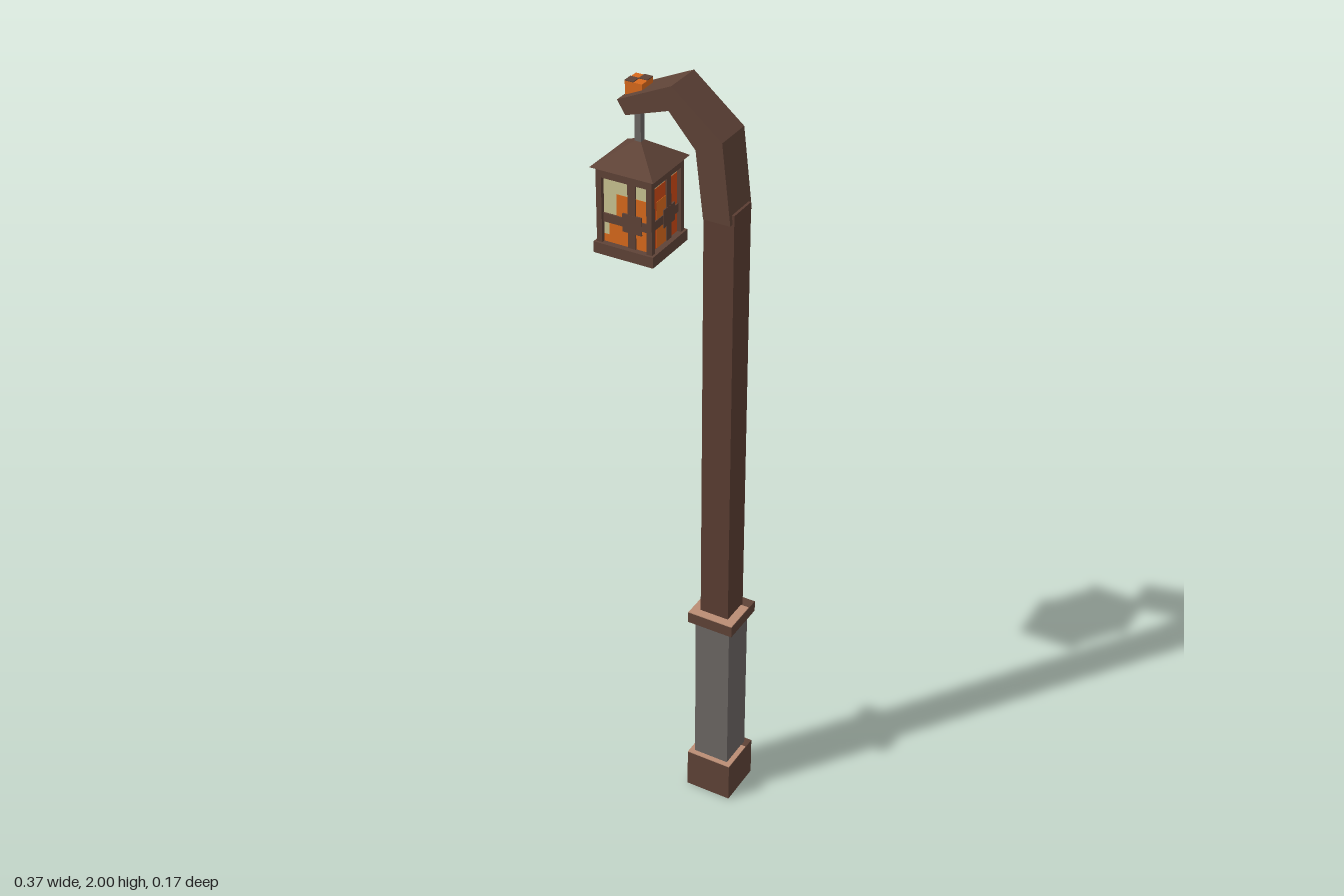
import * as THREE from 'three';

const mat = (name, color) => {
  const m = new THREE.MeshStandardMaterial({ color });
  m.name = name;
  return m;
};

export function createModel() {
  const wood = mat('brown wood', 0x5f4337);
  const postWood = mat('post wood', 0x5a3d32);
  const paleWood = mat('pale cut wood', 0xba8d74);
  const stone = mat('grey stone', 0x6b6663);
  const pale = mat('pale glass', 0xc9c390);
  const orange = mat('orange flame', 0xd8691c);
  const red = mat('deep orange flame', 0xcf4a16);

  const model = new THREE.Group();
  model.name = 'lampPost';

  // Box given by its min and max on each axis
  const box = (parent, name, m, [x0, x1], [y0, y1], [z0, z1]) => {
    const mesh = new THREE.Mesh(new THREE.BoxGeometry(x1 - x0, y1 - y0, z1 - z0), m);
    mesh.position.set((x0 + x1) / 2, (y0 + y1) / 2, (z0 + z1) / 2);
    mesh.name = name;
    parent.add(mesh);
    return mesh;
  };
  const sym = (h, c = 0) => [c - h, c + h];

  // Upright: foot, stone plinth, collar and wooden post
  const px = 0.122;
  box(model, 'foot', wood, sym(0.062, px), [0, 0.11], sym(0.062));
  box(model, 'plinth', stone, sym(0.048, px), [0.11, 0.55], sym(0.048));
  box(model, 'collar', wood, sym(0.062, px), [0.55, 0.58], sym(0.062));
  box(model, 'post', postWood, sym(0.039, px), [0.58, 1.72], sym(0.039));
  // Pale top faces of the foot and collar
  for (const [name, y] of [['footTop', 0.11], ['collarTop', 0.58]])
    box(model, name, paleWood, sym(0.0615, px), [y, y + 0.002], [-0.03, 0.0615]);

  // Bent arm
  const outline = [[0.088, 1.698], [0.157, 1.698], [0.134, 1.895], [0.007, 2],
    [-0.131, 1.937], [-0.11, 1.904], [0, 1.94], [0.068, 1.862]];
  const armShape = new THREE.Shape(outline.map(([x, y]) => new THREE.Vector2(x, y)));
  const armGeo = new THREE.ExtrudeGeometry(armShape, { depth: 0.1, bevelEnabled: false });
  const arm = new THREE.Mesh(armGeo.translate(0, 0, -0.05), wood);
  arm.name = 'arm';
  model.add(arm);

  // Checkered peg above the arm, and the hanging rod
  const lx = -0.104;
  for (const sx of [-1, 1]) for (const sz of [-1, 1]) {
    const x = [lx + Math.min(0, sx) * 0.022, lx + Math.max(0, sx) * 0.022];
    const z = [Math.min(0, sz) * 0.024, Math.max(0, sz) * 0.024];
    box(model, 'peg', orange, x, [1.925, 1.973], z);
    if (sx !== sz) box(model, 'pegTop', wood, x, [1.973, 1.975], z);
  }
  box(model, 'rod', stone, sym(0.008, lx), [1.8, 1.95], sym(0.008));

  // Lantern
  const lantern = new THREE.Group();
  lantern.name = 'lantern';
  lantern.position.x = lx;
  model.add(lantern);
  box(lantern, 'floor', wood, sym(0.079), [1.555, 1.583], sym(0.079));
  box(lantern, 'topBand', wood, sym(0.073), [1.748, 1.772], sym(0.073));
  const roofGeo = new THREE.ConeGeometry(0.083 * Math.SQRT2, 0.058, 4).toNonIndexed();
  roofGeo.rotateY(Math.PI / 4).computeVertexNormals();
  const roof = new THREE.Mesh(roofGeo, wood);
  roof.name = 'roof';
  roof.position.y = 1.801;
  lantern.add(roof);
  for (const sx of [-1, 1]) for (const sz of [-1, 1])
    box(lantern, 'cornerPost', wood, sym(0.007, sx * 0.066), [1.583, 1.75], sym(0.007, sz * 0.066));
  box(lantern, 'glass', pale, sym(0.062), [1.583, 1.75], sym(0.062));

  // Window details on the four sides: flame steps behind crossed bars
  for (let i = 0; i < 4; i++) {
    const pane = new THREE.Group();
    pane.name = 'window';
    pane.rotation.y = i * Math.PI / 2;
    lantern.add(pane);
    const plate = (name, m, x, y, z) => box(pane, name, m, x, y, [0.061, z]);
    if (i % 2) {
      plate('flame', red, sym(0.06), [1.583, 1.735], 0.063);
      plate('flameCore', orange, [-0.035, 0.015], [1.583, 1.7], 0.064);
    } else {
      plate('flameBase', orange, sym(0.06), [1.583, 1.602], 0.063);
      plate('flameLower', orange, [-0.045, 0.06], [1.602, 1.64], 0.063);
      plate('flameUpper', orange, [-0.025, 0.06], [1.64, 1.71], 0.063);
    }
    plate('crossBar', wood, sym(0.06), [1.634, 1.656], 0.066);
    plate('uprightBar', wood, [0.006, 0.026], [1.583, 1.75], 0.0665);
    plate('barJoint', wood, [-0.008, 0.042], [1.622, 1.668], 0.067);
  }
  return model;
}
